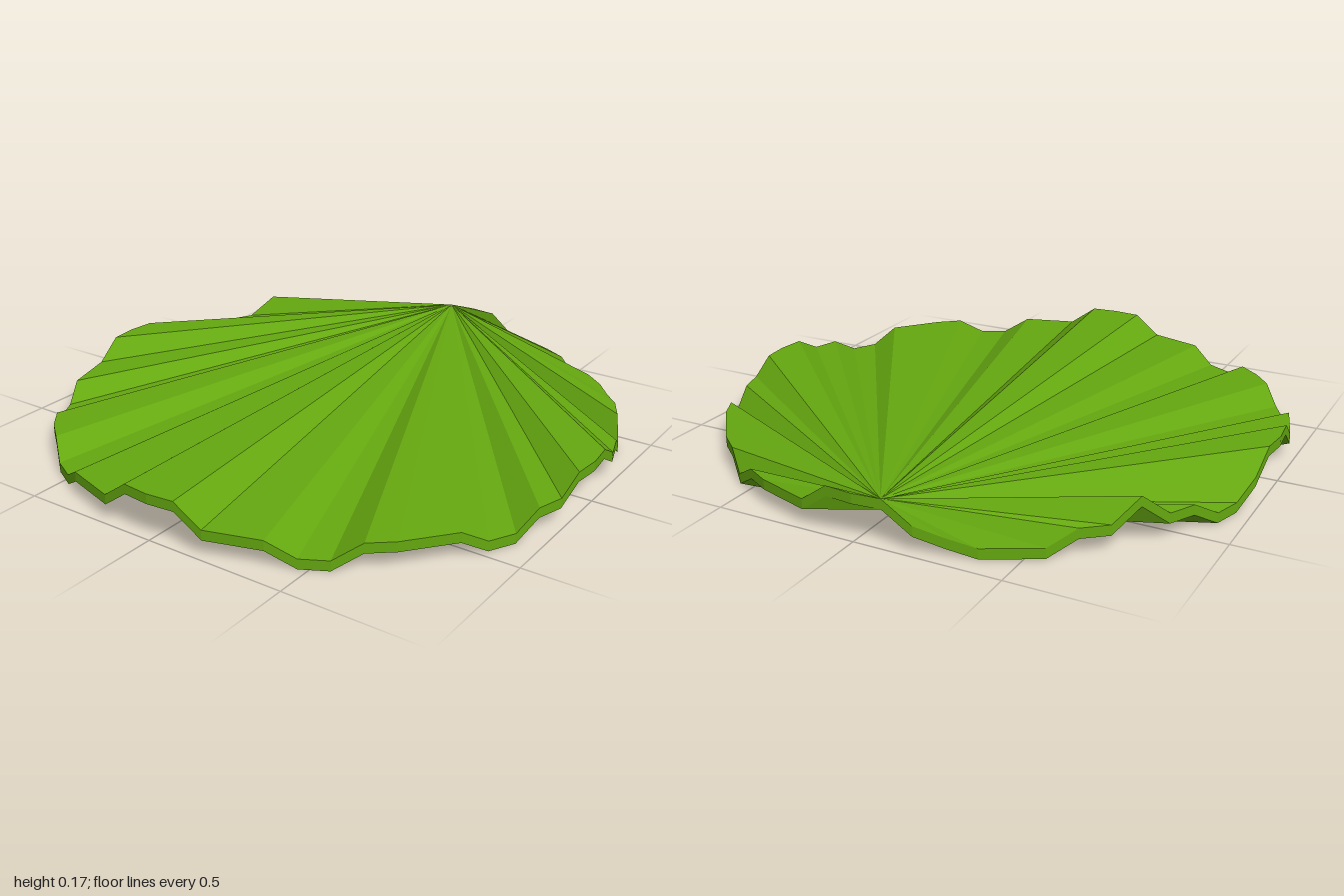
import * as THREE from 'three';

const SIDES = 32, COUNT = SIDES * 2, APEX = 33, THICK = 0.035;

// Wavy rim: three heights, listed by point index around the rim (0 = front, 16 = +x side)
const BASE = 0.09;
const heights = new Array(COUNT).fill(BASE);
const setHeight = (y, indices) => indices.forEach(i => { heights[i] = y; });
setHeight(0.035, [5, 6, 11, 12, 20, 26, 36, 37, 38, 44, 45, 53, 54, 58, 59]); // dips
setHeight(0.16, [63, 0, 1, 31, 32, 33, 47, 48, 49]);                          // crests
setHeight(0.143, [15, 16, 17]);                                               // lower crest
setHeight(0.165, [41]);
setHeight(0.1, [21, 22]);
setHeight(0.06, [35]);

// Corners lie on the circle, odd points halfway along each straight side
function rimPoint(i, drop) {
  const k = ((i % COUNT) + COUNT) % COUNT;
  const step = (Math.PI * 2) / COUNT;
  const r = k % 2 ? Math.cos(step) : 1;
  return [r * Math.sin(k * step), heights[k] - drop, r * Math.cos(k * step)];
}

function meshFrom(name, triangles, material) {
  const geometry = new THREE.BufferGeometry();
  geometry.setAttribute('position', new THREE.Float32BufferAttribute(triangles.flat(2), 3));
  geometry.computeVertexNormals();
  const mesh = new THREE.Mesh(geometry, material);
  mesh.name = name;
  return mesh;
}

// Folded sheet fanned out from one rim point
function fan(drop, flip) {
  const triangles = [];
  for (let n = 1; n < COUNT - 1; n++) {
    const a = rimPoint(APEX, drop), b = rimPoint(APEX + n, drop), c = rimPoint(APEX + n + 1, drop);
    triangles.push(flip ? [a, c, b] : [a, b, c]);
  }
  return triangles;
}

export function createModel() {
  const group = new THREE.Group();
  group.name = 'wavyDisc';
  const green = new THREE.MeshStandardMaterial({ color: 0x65a810 });
  green.name = 'leafGreen';
  green.flatShading = true;

  // Upper and lower surfaces
  group.add(meshFrom('topSurface', fan(0, false), green));
  group.add(meshFrom('underside', fan(THICK, true), green));

  // Thin edge band following the waves
  const band = [];
  for (let i = 0; i < COUNT; i++) {
    const a = rimPoint(i, THICK), b = rimPoint(i + 1, THICK);
    const c = rimPoint(i + 1, 0), d = rimPoint(i, 0);
    band.push([a, b, c], [a, c, d]);
  }
  group.add(meshFrom('rim', band, green));
  return group;
}
